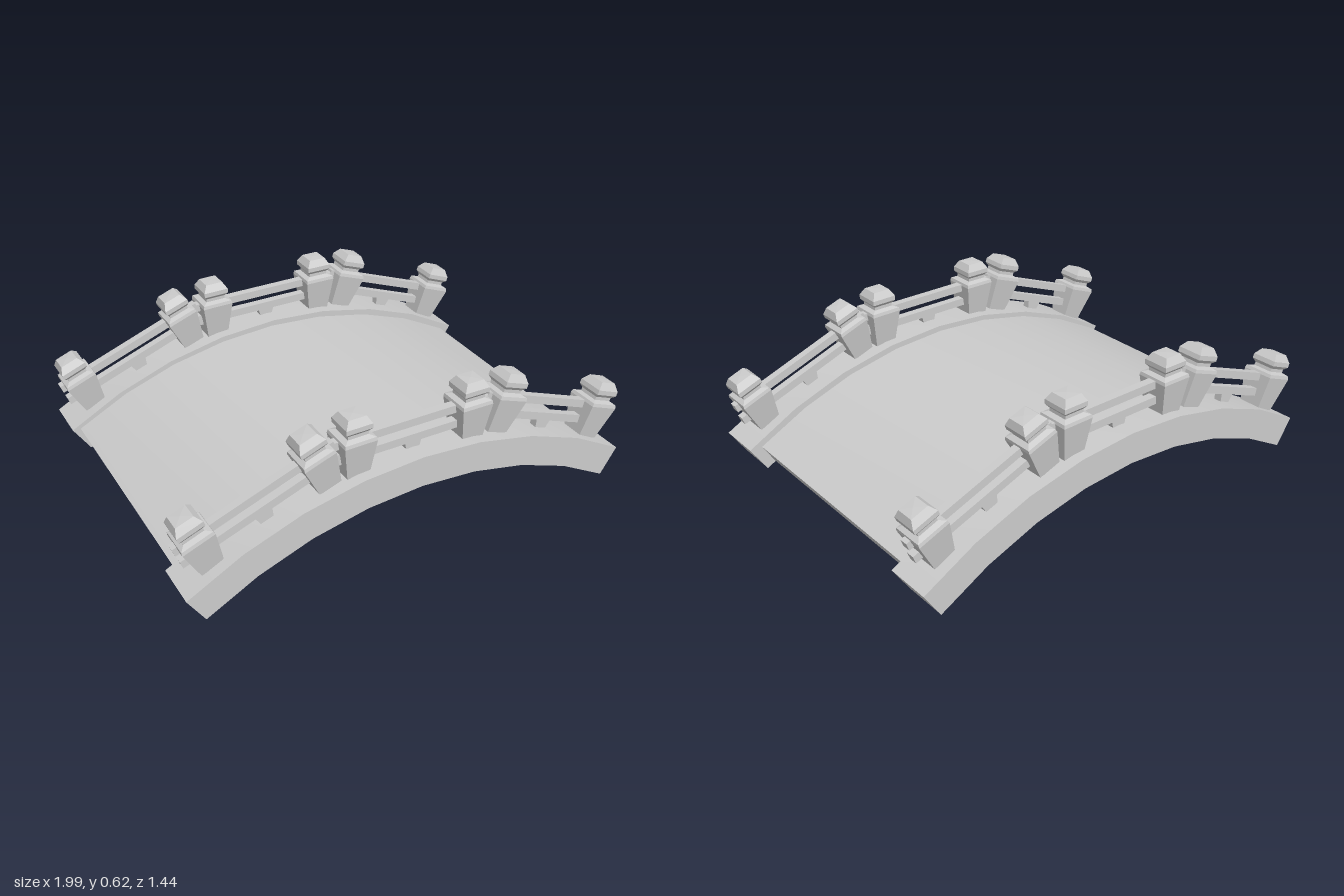
import * as THREE from 'three';
import { toCreasedNormals } from 'three/addons/utils/BufferGeometryUtils.js';

const smooth = new THREE.MeshStandardMaterial({ color: 0xcccccc });
const faceted = new THREE.MeshStandardMaterial({ color: 0xcccccc, flatShading: true });
const ARCH_Y = -1.434; // height of the arch's centre of curvature
const CURB_Z = 0.625;

function add(parent, name, geometry, material, x = 0, y = 0, z = 0) {
  const mesh = new THREE.Mesh(geometry, material);
  mesh.name = name;
  mesh.position.set(x, y, z);
  parent.add(mesh);
  return mesh;
}

// Curved slab between two radii, extruded along z and centred on it
function archGeometry(outer, inner, halfAngle, depth, segments = 8) {
  const points = [];
  const arc = (r, from, to) => {
    for (let i = 0; i <= segments; i++) {
      const a = from + (to - from) * i / segments;
      points.push(new THREE.Vector2(r * Math.sin(a), ARCH_Y + r * Math.cos(a)));
    }
  };
  arc(outer, halfAngle, -halfAngle);
  arc(inner, -halfAngle, halfAngle);
  const g = new THREE.ExtrudeGeometry(new THREE.Shape(points), { depth, bevelEnabled: false });
  g.translate(0, 0, -depth / 2);
  return toCreasedNormals(g, 0.4);
}

// Square tapered post with a neck and a bevelled cap: [half width, height]
const postProfile = [
  [0, -0.028], [0.048, -0.028], [0.069, 0.122], [0.066, 0.136], [0.044, 0.144],
  [0.044, 0.158], [0.056, 0.172], [0.056, 0.192], [0.038, 0.222], [0, 0.224],
].map(([w, y]) => new THREE.Vector2(w * Math.SQRT2, y));
const postGeometry = new THREE.LatheGeometry(postProfile, 4).rotateY(Math.PI / 4);
const railGeometry = new THREE.BoxGeometry(0.69, 0.034, 0.035);

// Small wedge block that carries the lower rail
const blockShape = new THREE.Shape([
  new THREE.Vector2(-0.025, -0.02), new THREE.Vector2(0.025, -0.02),
  new THREE.Vector2(0.038, 0.03), new THREE.Vector2(-0.038, 0.03),
]);
const blockGeometry = new THREE.ExtrudeGeometry(blockShape, { depth: 0.035, bevelEnabled: false });
blockGeometry.translate(0, 0, -0.0175);

// One railing section: two posts, two rails and the block
function railing() {
  const g = new THREE.Group();
  g.name = 'railingSection';
  for (const s of [-1, 1]) {
    const post = add(g, 'post', postGeometry, faceted, s * 0.257);
    post.rotation.z = s * -0.01;
  }
  add(g, 'upperRail', railGeometry, faceted, 0, 0.11);
  add(g, 'lowerRail', railGeometry, faceted, 0, 0.04);
  add(g, 'railBlock', blockGeometry, faceted);
  return g;
}

export function createModel() {
  const model = new THREE.Group();
  model.name = 'archedBridge';

  // Walking deck
  add(model, 'deck', archGeometry(1.819, 1.718, 0.543, 1.07), smooth, -0.01);

  // Raised curbs with three railing sections on each side
  const curb = archGeometry(1.844, 1.711, 0.5637, 0.195);
  for (const side of [-1, 1]) {
    add(model, 'curb', curb, smooth, 0, 0, side * CURB_Z);
    for (const k of [-1, 0, 1]) {
      const section = railing();
      section.position.set(k * 0.625, k ? 0.307 : 0.41, side * CURB_Z);
      section.rotation.z = -k * 0.36;
      model.add(section);
    }
  }
  return model;
}
